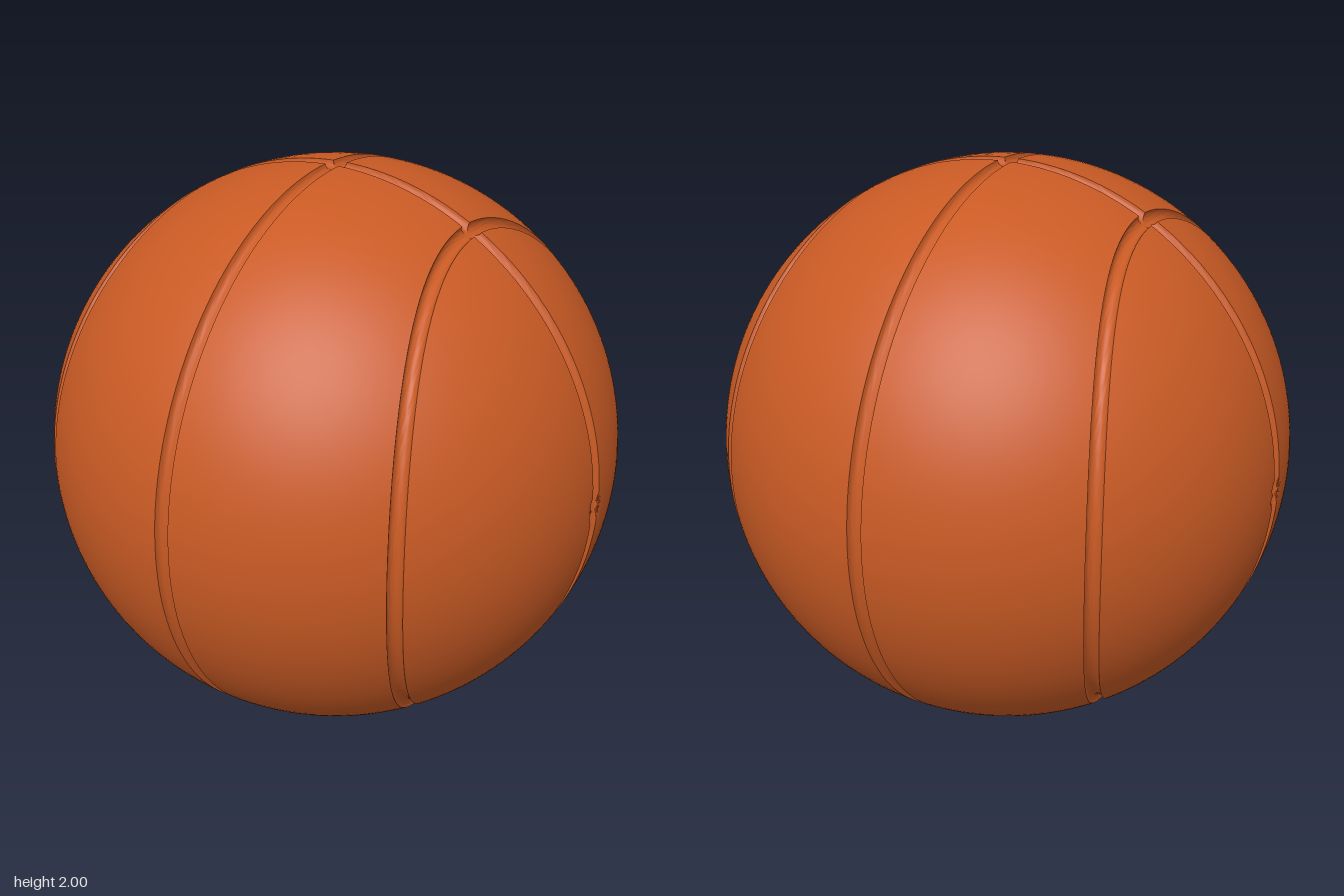
import * as THREE from 'three';
import { toCreasedNormals } from 'three/addons/utils/BufferGeometryUtils.js';

const W = 0.025;                       // groove half width and depth
const OVAL_Y = 0.863, OVAL_Z = 0.74;   // half axes of the side ovals, seen along x

// polar angle (from the x axis) of the side oval at angle a (from +y towards +z)
const ovalAngle = (a) => Math.asin(1 / Math.hypot(Math.cos(a) / OVAL_Y, Math.sin(a) / OVAL_Z));

// round groove cross-section
const groove = (d) => Math.sqrt(Math.max(0, W * W - d * d));

// ring layout: [kind, fraction], so grid lines follow the groove edges
function ringLayout() {
  const rings = [];
  for (let i = 0; i < 6; i++) rings.push(['pole', i / 6]);
  for (let i = 0; i < 30; i++) rings.push(['inner', i / 30]);
  for (let i = 0; i < 12; i++) rings.push(['oval', i / 6 - 1]);
  for (let i = 0; i < 20; i++) rings.push(['outer', i / 20]);
  for (let i = 0; i <= 6; i++) rings.push(['middle', 1 - i / 6]);
  return rings;
}

function ringAngle([kind, t], a) {
  const c = ovalAngle(a), mid = Math.PI / 2, lerp = THREE.MathUtils.lerp;
  const across = W * Math.sin(t * Math.PI / 2);
  if (kind === 'pole') return W * t;
  if (kind === 'inner') return lerp(W, c - W, t);
  if (kind === 'oval') return c + across;
  if (kind === 'outer') return lerp(c + W, mid - Math.asin(W), t);
  return mid - Math.asin(across);
}

// columns follow the groove in the z = 0 plane, then fan out evenly
const GROOVE_COLS = 6, FAN_COLS = 36, COLS = GROOVE_COLS + FAN_COLS;
function columnAngle(j, theta) {
  const s = Math.min(0.9, W / Math.max(Math.sin(theta), 1e-6));
  if (j <= GROOVE_COLS) return Math.asin(s * Math.sin((j / GROOVE_COLS) * Math.PI / 2));
  return THREE.MathUtils.lerp(Math.asin(s), Math.PI / 2, (j - GROOVE_COLS) / FAN_COLS);
}

// surface point of the positive octant
function surfacePoint(ring, j) {
  let a = (j / COLS) * Math.PI / 2, theta = 0;
  for (let k = 0; k < 5; k++) {
    theta = ringAngle(ring, a);
    a = columnAngle(j, theta);
  }
  theta = ringAngle(ring, a);
  const p = new THREE.Vector3(
    Math.cos(theta), Math.sin(theta) * Math.cos(a), Math.sin(theta) * Math.sin(a));
  const depth = Math.max(groove(p.x), groove(p.z), groove(theta - ovalAngle(a)));
  return p.multiplyScalar(1 - depth);
}

function ballGeometry() {
  const rings = ringLayout(), positions = [], index = [], stride = COLS + 1;
  const octant = rings.map((ring) =>
    Array.from({ length: stride }, (_, j) => surfacePoint(ring, j)));

  // mirror the octant into all eight
  for (const sx of [1, -1]) for (const sy of [1, -1]) for (const sz of [1, -1]) {
    const base = positions.length / 3;
    const flip = sx * sy * sz < 0;
    const tri = (a, b, c) => (flip ? index.push(a, c, b) : index.push(a, b, c));
    for (const row of octant) for (const p of row) positions.push(sx * p.x, sy * p.y, sz * p.z);
    for (let i = 0; i < rings.length - 1; i++) for (let j = 0; j < COLS; j++) {
      const a = base + i * stride + j, b = a + stride;
      tri(a, b, b + 1);
      if (i > 0) tri(a, b + 1, a + 1);
    }
  }
  const geometry = new THREE.BufferGeometry();
  geometry.setAttribute('position', new THREE.Float32BufferAttribute(positions, 3));
  geometry.setIndex(index);
  return toCreasedNormals(geometry, 0.7);
}

export function createModel() {
  const group = new THREE.Group();
  group.name = 'groovedBall';

  const orange = new THREE.MeshStandardMaterial({ color: 0xc95a24 });
  orange.name = 'orange rubber';

  const ball = new THREE.Mesh(ballGeometry(), orange);
  ball.name = 'ball';
  ball.position.y = 1;
  group.add(ball);
  return group;
}
